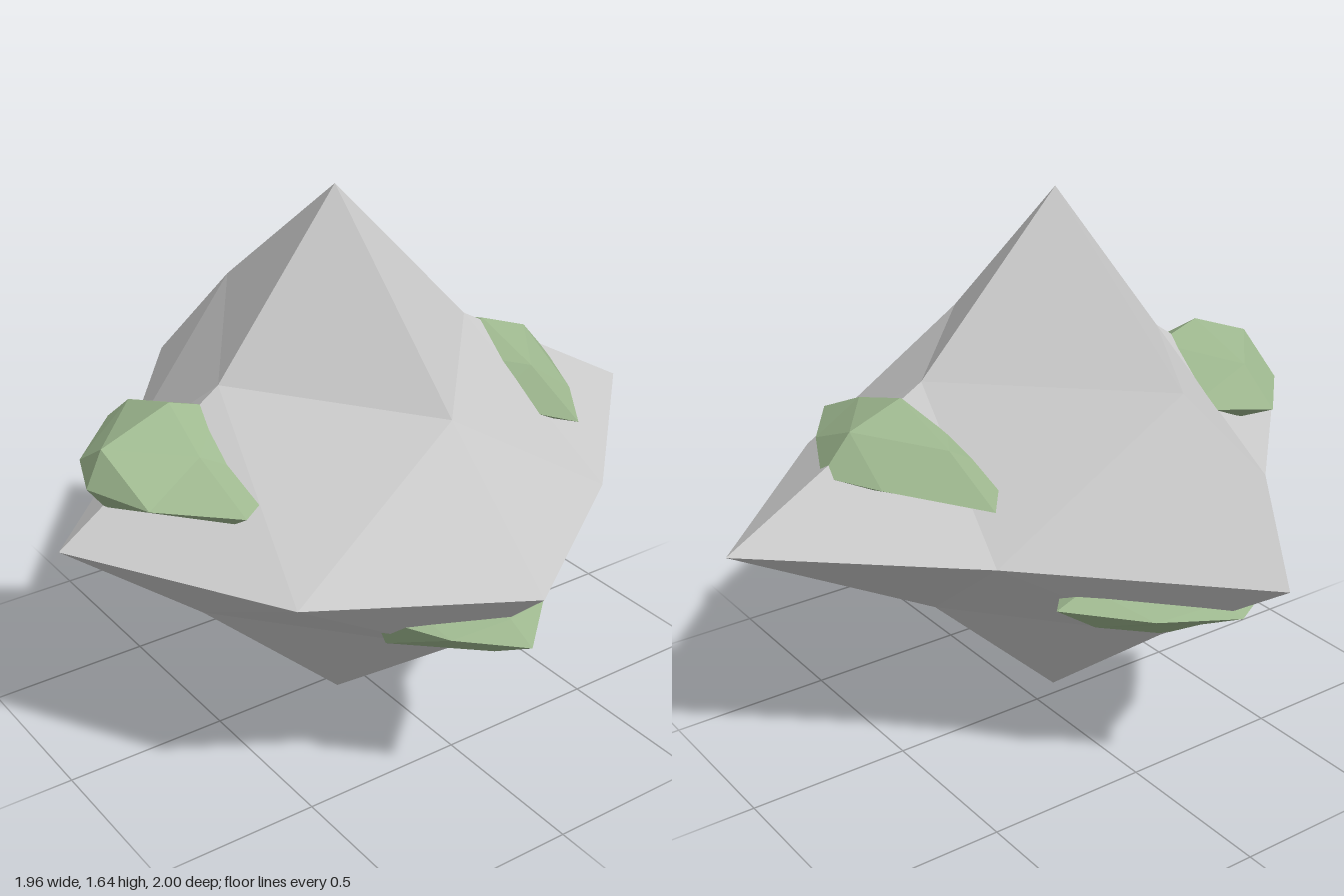
import * as THREE from 'three';

// A low-poly stone: an octahedron with every face split in four.
// tips: distances from the centre to [+x, -x, +y, -y, +z, -z]
// xy, yz, zx: offsets of the edge midpoints in each plane, signs in order ++ +- -+ --
function stone(name, material, centre, tips, xy, yz, zx) {
  const pick = (list, a, b) => list[(a < 0 ? 2 : 0) + (b < 0 ? 1 : 0)];
  const tip = (axis, s) => s * tips[axis * 2 + (s < 0 ? 1 : 0)];
  const pos = [];
  for (const sx of [1, -1]) for (const sy of [1, -1]) for (const sz of [1, -1]) {
    const X = [tip(0, sx), 0, 0], Y = [0, tip(1, sy), 0], Z = [0, 0, tip(2, sz)];
    const p = pick(xy, sx, sy), q = pick(yz, sy, sz), r = pick(zx, sz, sx);
    const XY = [sx * p[0], sy * p[1], 0];
    const YZ = [0, sy * q[0], sz * q[1]];
    const ZX = [sx * r[1], 0, sz * r[0]];
    const faces = [[X, XY, ZX], [XY, Y, YZ], [ZX, YZ, Z], [XY, YZ, ZX]];
    for (const [a, b, c] of faces) {
      // mirrored octants need the opposite corner order
      const tri = sx * sy * sz > 0 ? [a, b, c] : [a, c, b];
      tri.forEach((v) => pos.push(...v));
    }
  }
  const geometry = new THREE.BufferGeometry();
  geometry.setAttribute('position', new THREE.Float32BufferAttribute(pos, 3));
  geometry.computeVertexNormals();
  const mesh = new THREE.Mesh(geometry, material);
  mesh.name = name;
  mesh.position.set(...centre);
  return mesh;
}

export function createModel() {
  const group = new THREE.Group();
  group.name = 'mossyRock';
  const grey = new THREE.MeshStandardMaterial({ color: 0xcccccc, flatShading: true });
  const green = new THREE.MeshStandardMaterial({ color: 0x9fb990, flatShading: true });

  // main boulder
  group.add(stone('rock', grey, [0.05, 0.785, 0.1],
    [0.93, 1.035, 0.855, 0.785, 0.9, 1.1],
    [[0.535, 0.352], [0.55, 0.348], [0.585, 0.41], [0.525, 0.362]],
    [[0.355, 0.39], [0.365, 0.465], [0.345, 0.47], [0.365, 0.44]],
    [[0.544, 0.615], [0.448, 0.455], [0.547, 0.55], [0.547, 0.488]]));

  // moss clumps half sunk into the boulder
  group.add(stone('mossFront', green, [0.05, 0.945, 0.645],
    [0.385, 0.37, 0.185, 0.1, 0.26, 0.3],
    [[0.155, 0.085], [0.325, 0.04], [0.235, 0.105], [0.235, 0.067]],
    [[0.105, 0.21], [0.135, 0.15], [0.068, 0.21], [0.07, 0.15]],
    [[0.185, 0.205], [0.195, 0.167], [0.19, 0.25], [0.215, 0.22]]));

  group.add(stone('mossBack', green, [0.05, 0.945, -0.437],
    [0.445, 0.47, 0.172, 0.08, 0.24, 0.26],
    [[0.23, 0.1], [0.3, 0.042], [0.25, 0.1], [0.3, 0.042]],
    [[0.1, 0.15], [0.11, 0.165], [0.06, 0.15], [0.06, 0.16]],
    [[0.14, 0.2], [0.17, 0.25], [0.138, 0.25], [0.173, 0.18]]));

  group.add(stone('mossLeft', green, [0.6, 0.625, 0.105],
    [0.35, 0.25, 0.08, 0.187, 0.25, 0.295],
    [[0.26, 0.043], [0.2, 0.09], [0.15, 0.05], [0.15, 0.11]],
    [[0.04, 0.17], [0.04, 0.2], [0.09, 0.215], [0.095, 0.22]],
    [[0.15, 0.2], [0.15, 0.15], [0.175, 0.19], [0.16, 0.15]]));

  group.add(stone('mossRight', green, [-0.48, 0.625, 0.105],
    [0.25, 0.33, 0.06, 0.198, 0.39, 0.385],
    [[0.15, 0.04], [0.15, 0.11], [0.26, 0.023], [0.16, 0.095]],
    [[0.043, 0.3], [0.04, 0.28], [0.095, 0.2], [0.095, 0.25]],
    [[0.25, 0.15], [0.2, 0.22], [0.25, 0.15], [0.205, 0.21]]));

  return group;
}
